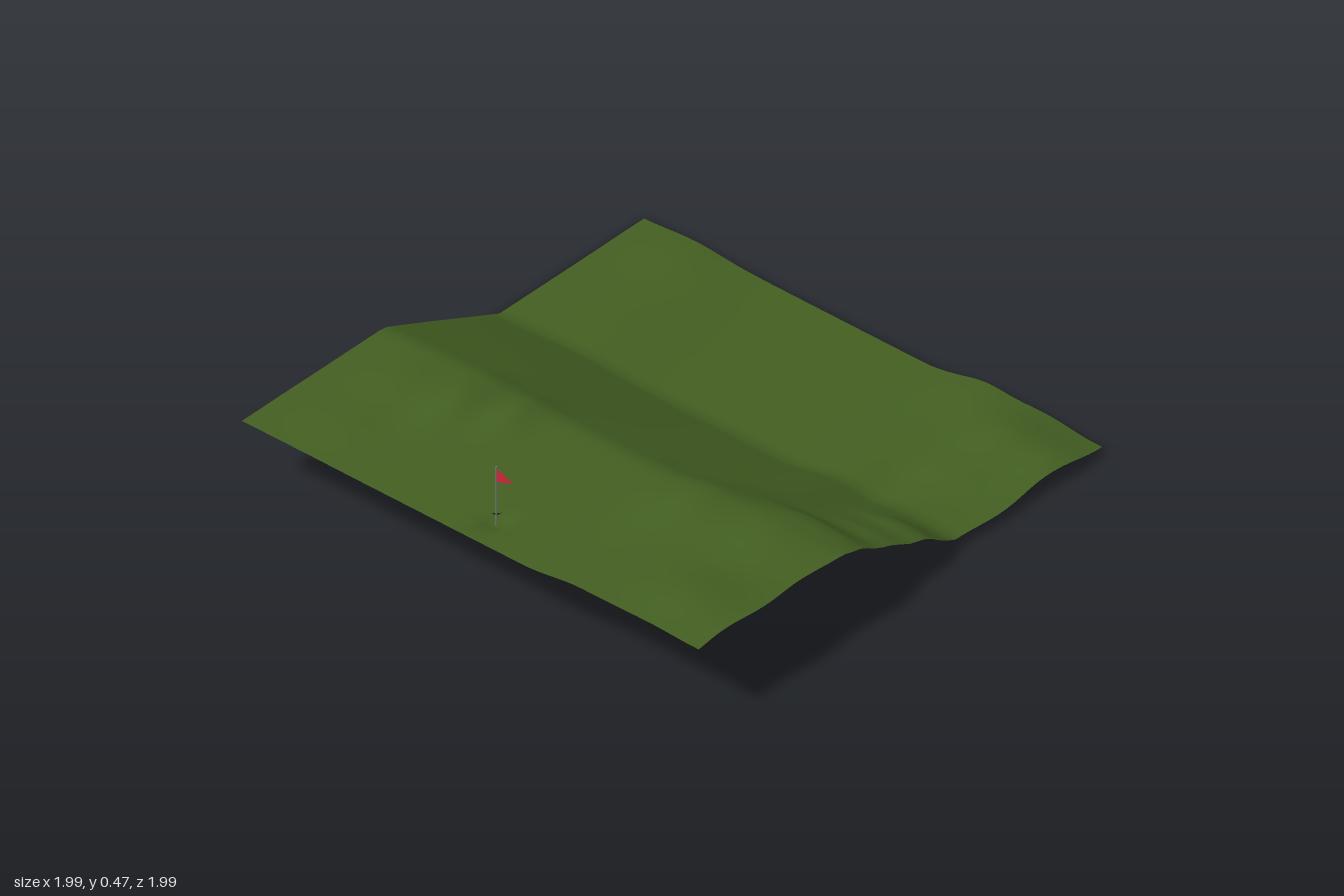
import * as THREE from 'three';

// Mounds on the ground: [x, z, radius x, radius z, height]
const MOUNDS = [
  // left side
  [-0.53, 0.45, 0.08, 0.17, 0.042], [-0.74, 0.5, 0.13, 0.2, 0.024], [-0.35, 0.38, 0.055, 0.13, 0.033],
  [-0.65, 0.05, 0.25, 0.25, 0.014], [-0.65, -0.4, 0.22, 0.4, 0.01], [-0.78, -0.93, 0.15, 0.18, 0.016],
  [-0.75, 0.8, 0.15, 0.12, 0.012],
  // right side
  [0.42, 0.4, 0.13, 0.16, 0.03], [0.75, 0.38, 0.15, 0.16, 0.024], [0.8, 0.8, 0.16, 0.15, 0.025],
  [0.8, 0.19, 0.22, 0.06, 0.03], [0.88, 0.02, 0.16, 0.06, 0.02], [0.9, -0.12, 0.16, 0.07, 0.036],
  [0.5, -0.28, 0.1, 0.25, 0.008], [0.62, -0.28, 0.06, 0.3, -0.012], [0.8, -0.28, 0.12, 0.12, 0.01],
  [0.74, -0.8, 0.14, 0.16, 0.04], [0.95, -0.78, 0.1, 0.16, 0.026], [0.74, -0.55, 0.16, 0.12, 0.015],
  [0.5, -0.95, 0.1, 0.14, 0.012], [0.95, 1, 0.12, 0.12, -0.006], [0.95, -1, 0.12, 0.1, -0.012],
];
const HOLE_Z = 0.862;

// Lift above the plain lawn: a broad bank on the right plus the mounds
function groundLift(x, z) {
  let lift = 0.03 * THREE.MathUtils.smoothstep(x, 0.22, 0.48);
  for (const [mx, mz, rx, rz, h] of MOUNDS) {
    lift += h * Math.exp(-(((x - mx) / rx) ** 2) - ((z - mz) / rz) ** 2);
  }
  return lift;
}

// Upper lawn, straight slope and lower lawn
function lawnHeight(z) {
  return 0.246 * THREE.MathUtils.clamp((z + 0.28) / 0.57, 0, 1);
}

function createTerrain() {
  const n = 50;
  const geometry = new THREE.PlaneGeometry(2, 2, n, n).rotateX(-Math.PI / 2);
  const p = geometry.attributes.position;
  for (let i = 0; i < p.count; i++) {
    const col = (i % (n + 1)) - n / 2;
    const row = Math.floor(i / (n + 1)) - 47;
    let x = p.getX(i);
    let z = p.getZ(i);
    const ring = Math.max(Math.abs(col), Math.abs(row));
    let y;
    if (ring <= 2) {
      // Square cup with steep walls
      const scale = ring === 2 ? 0.024 : 0.04;
      x = col * scale;
      z = HOLE_Z + row * scale;
      y = ring === 2 ? 0.246 : 0.23;
    } else {
      // The border is slightly wavy where the ground rises
      const lift = groundLift(x, z);
      y = lawnHeight(z) + lift;
      z *= 0.988 + 0.18 * lift;
      if (x > 0.9) x -= (x - 0.9) * (0.12 + 0.06 * Math.sin(z * 16));
    }
    p.setXYZ(i, x, y, z);
  }
  geometry.computeVertexNormals();
  const mesh = new THREE.Mesh(geometry, new THREE.MeshStandardMaterial({ color: 0x446022, side: THREE.DoubleSide }));
  mesh.name = 'terrain';
  return mesh;
}

function createFlag() {
  const group = new THREE.Group();
  group.name = 'flagstick';
  group.position.set(-0.006, 0, HOLE_Z);

  const pole = new THREE.Mesh(
    new THREE.CylinderGeometry(0.003, 0.003, 0.235, 10),
    new THREE.MeshStandardMaterial({ color: 0x80848c }),
  );
  pole.name = 'pole';
  pole.position.y = 0.3475;

  // Triangular pennant
  const shape = new THREE.Shape([
    new THREE.Vector2(0, 0.457), new THREE.Vector2(0, 0.403), new THREE.Vector2(0.072, 0.43),
  ]);
  const pennant = new THREE.Mesh(
    new THREE.ShapeGeometry(shape),
    new THREE.MeshStandardMaterial({ color: 0xd8243c, side: THREE.DoubleSide }),
  );
  pennant.name = 'pennant';
  group.add(pole, pennant);
  return group;
}

export function createModel() {
  const model = new THREE.Group();
  model.name = 'golfHole';
  model.add(createTerrain(), createFlag());
  return model;
}
